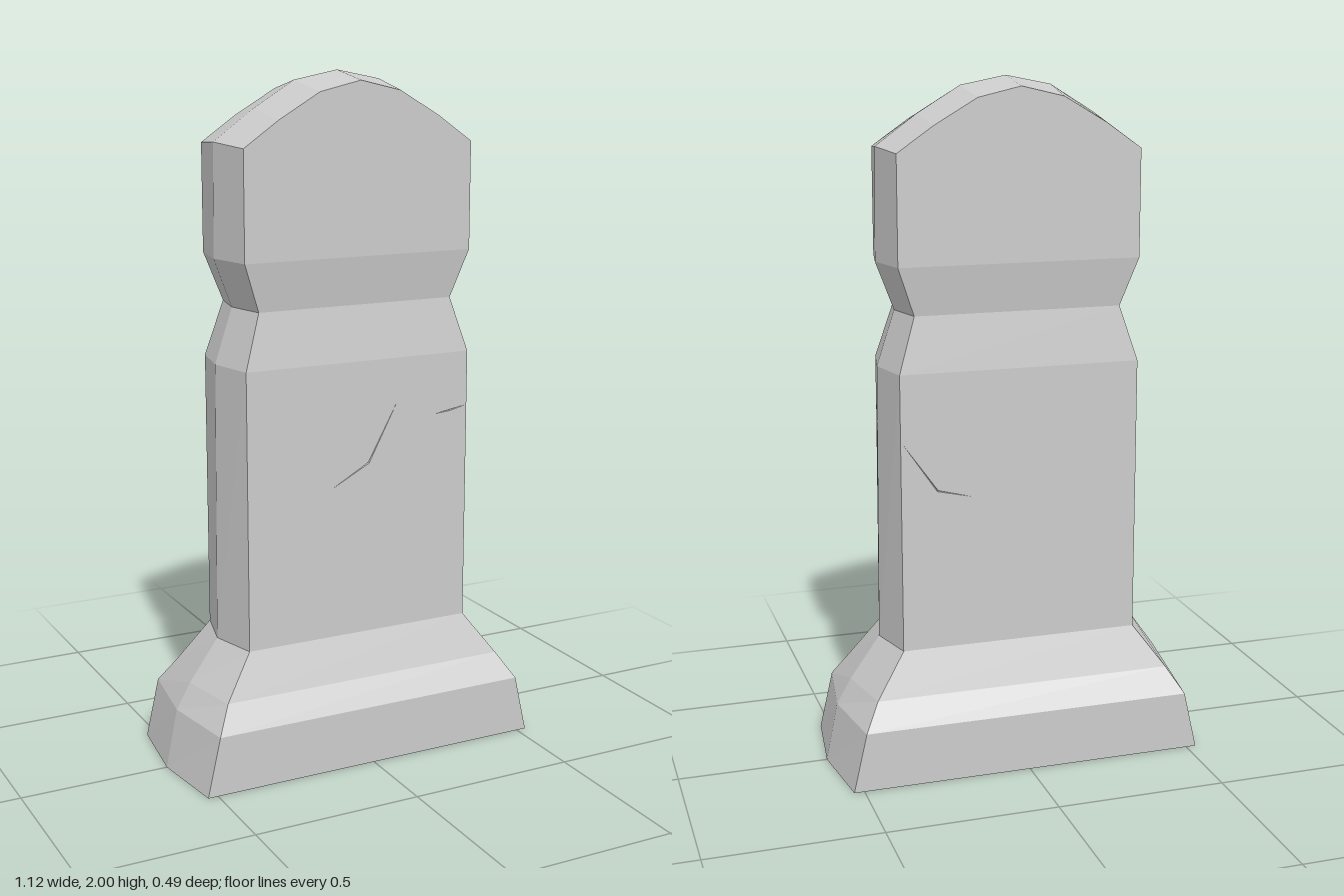
import * as THREE from 'three';

const V = (x, y, z) => new THREE.Vector3(x, y, z);

// Hexagonal cross-sections: [y, half width mid-side, half width at corners, half depth, y of mid-side]
const LEVELS = [
  [0, 0.56, 0.53, 0.243],
  [0.175, 0.525, 0.49, 0.243],
  [0.25, 0.482, 0.445, 0.195],
  [0.375, 0.393, 0.355, 0.147],
  [1.19, 0.385, 0.355, 0.147],
  [1.35, 0.332, 0.305, 0.125],
  [1.49, 0.385, 0.355, 0.147],
  [1.8, 0.38, 0.355, 0.147, 1.81],
];

// Counter-clockwise seen from above, starting mid +x side
const ring = ([y, m, c, z, my = y]) =>
  [V(m, my, 0), V(c, y, -z), V(-c, y, -z), V(-m, my, 0), V(-c, y, z), V(c, y, z)];

// Cracks per shaft face, as (u, v) on that face
const CRACKS = {
  1: [[[0.01, 0.755], [0.15, 0.58], [0.29, 0.55]]],
  4: [[[0.67, 0.84], [0.54, 0.63], [0.37, 0.55]], [[0.99, 0.8], [0.92, 0.788], [0.85, 0.78]]],
  5: [[[0.01, 0.8], [0.5, 0.83], [0.98, 0.875]]],
};
const SHAFT = 3;

const quad = (out, a, b, c, d) => out.push(a, b, c, a, c, d);
const fan = (out, pts) => {
  for (let i = 1; i < pts.length - 1; i++) out.push(pts[0], pts[i], pts[i + 1]);
};

function mesh(name, points) {
  const geometry = new THREE.BufferGeometry().setFromPoints(points);
  geometry.computeVertexNormals();
  const m = new THREE.Mesh(geometry, new THREE.MeshStandardMaterial({ color: 0xcccccc, flatShading: true }));
  m.name = name;
  return m;
}

// Flat face a-b-c-d with thin sunken cracks cut into it
function crackedPanel(out, a, b, c, d, cracks) {
  const W = a.distanceTo(b), H = a.distanceTo(d);
  const normal = b.clone().sub(a).cross(d.clone().sub(a)).normalize();
  const place = (p, depth = 0) => a.clone().lerp(b, p.x / W)
    .lerp(d.clone().lerp(c, p.x / W), p.y / H).addScaledVector(normal, -depth);
  const outline = [[0, 0], [W, 0], [W, H], [0, H]].map(([x, y]) => new THREE.Vector2(x, y));
  const holes = cracks.map((line) => {
    const [start, mid, end] = line.map(([u, v]) => new THREE.Vector2(u * W, v * H));
    const dir = end.clone().sub(start).normalize();
    const side = new THREE.Vector2(-dir.y, dir.x).multiplyScalar(0.002);
    const rim = [start, mid.clone().sub(side), end, mid.clone().add(side)];
    rim.forEach((p, i) => out.push(place(p), place(rim[(i + 1) % 4]), place(mid, 0.004)));
    return rim.slice().reverse();
  });
  const all = [outline, ...holes].flat();
  for (const face of THREE.ShapeUtils.triangulateShape(outline, holes)) {
    const [p, q, r] = face.map((i) => all[i]);
    const ccw = q.clone().sub(p).cross(r.clone().sub(p)) > 0;
    out.push(...(ccw ? [p, q, r] : [p, r, q]).map((s) => place(s)));
  }
}

export function createModel() {
  const group = new THREE.Group();
  group.name = 'standingStone';
  const rings = LEVELS.map(ring);

  // Plinth, shaft, neck and head are bands between neighbouring sections
  const parts = { plinth: [], shaft: [], neck: [], head: [] };
  const owner = ['plinth', 'plinth', 'plinth', 'shaft', 'neck', 'neck', 'head'];
  for (let i = 0; i < rings.length - 1; i++) {
    for (let k = 0; k < 6; k++) {
      const n = (k + 1) % 6, out = parts[owner[i]];
      const corners = [rings[i][k], rings[i][n], rings[i + 1][n], rings[i + 1][k]];
      if (i === SHAFT && CRACKS[k]) crackedPanel(out, ...corners, CRACKS[k]);
      else quad(out, ...corners);
    }
  }
  fan(parts.plinth, rings[0].slice().reverse());

  // Arched top: low outline on both faces, raised ridge in between
  const mirrored = (half) => [...half, ...half.slice(0, -1).reverse().map(([x, y]) => [-x, y])];
  const edge = mirrored([[0.355, 1.8], [0.25, 1.873], [0.125, 1.946], [0, 1.975]]);
  const ridge = mirrored([[0.38, 1.81], [0.26, 1.897], [0.133, 1.974], [0, 2]]);
  const Z = 0.147;
  const front = edge.map(([x, y]) => V(x, y, Z));
  const back = edge.map(([x, y]) => V(x, y, -Z));
  const middle = ridge.map(([x, y]) => V(x, y, 0));
  const cap = [];
  fan(cap, front);
  fan(cap, back.slice().reverse());
  for (let i = 0; i < edge.length - 1; i++) {
    quad(cap, front[i], middle[i], middle[i + 1], front[i + 1]);
    quad(cap, middle[i], back[i], back[i + 1], middle[i + 1]);
  }
  parts.archedTop = cap;

  for (const [name, points] of Object.entries(parts)) group.add(mesh(name, points));
  return group;
}
